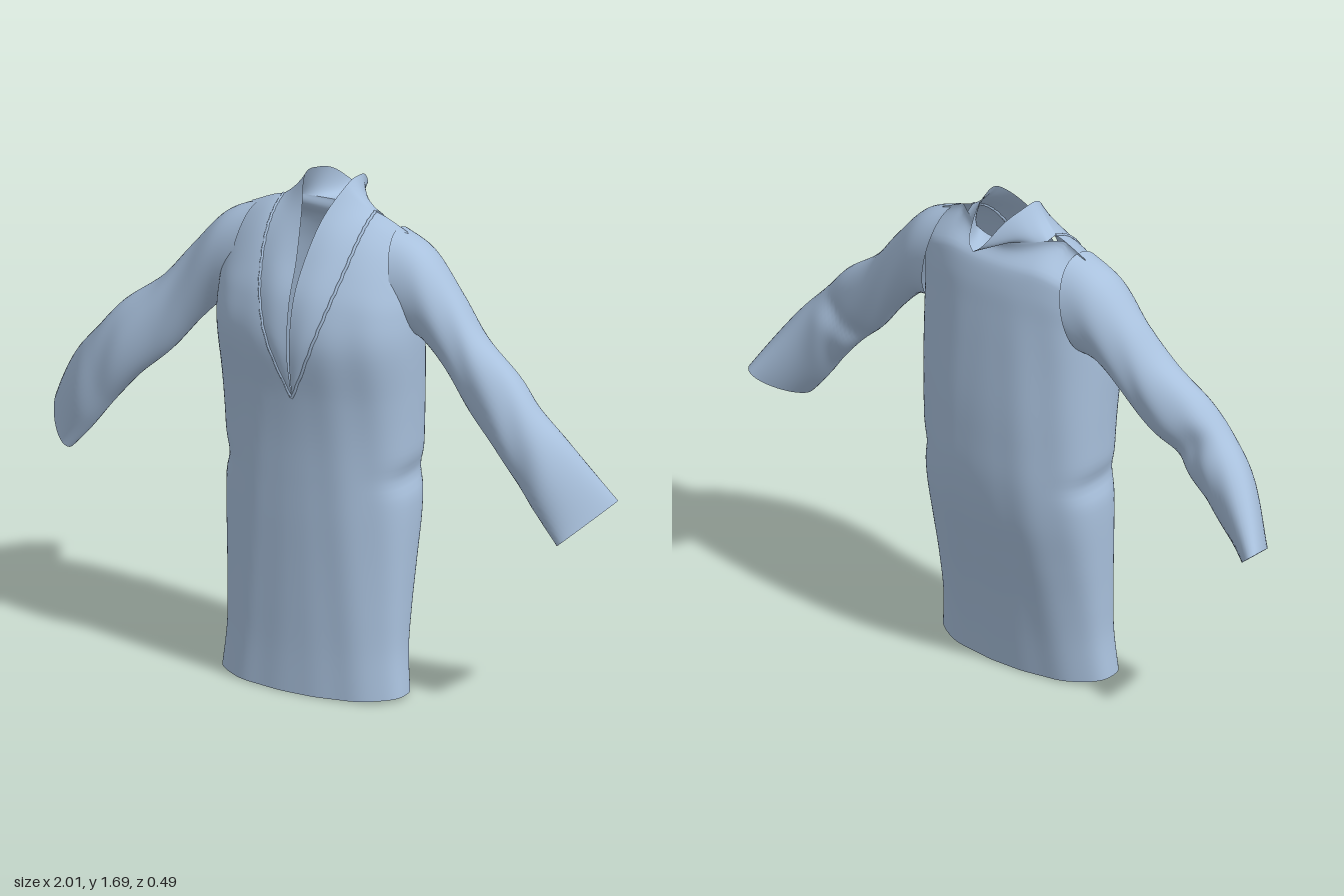
import * as THREE from 'three';
import { mergeVertices } from 'three/addons/utils/BufferGeometryUtils.js';

const cloth = new THREE.MeshStandardMaterial({ color: 0xa9c1dd, side: THREE.DoubleSide });
const { smoothstep, lerp, clamp } = THREE.MathUtils;

// Smooth interpolation through rows of numbers, t from 0 to rows.length - 1
function spline(rows, t) {
  const i = Math.min(Math.floor(t), rows.length - 2), f = t - i;
  const at = k => rows[clamp(k, 0, rows.length - 1)];
  return rows[0].map((_, k) => {
    const [a, b, c, d] = [at(i - 1)[k], at(i)[k], at(i + 1)[k], at(i + 2)[k]];
    return b + 0.5 * f * (c - a + f * (2 * a - 5 * b + 4 * c - d + f * (3 * (b - c) + d - a)));
  });
}

// Smooth sheet of cloth from a function of u and v (each 0..1)
function sheet(name, nu, nv, point, flip = false) {
  const pos = [], index = [];
  for (let j = 0; j <= nv; j++)
    for (let i = 0; i <= nu; i++) pos.push(...point(i / nu, j / nv).toArray());
  for (let j = 0; j < nv; j++)
    for (let i = 0; i < nu; i++) {
      const a = j * (nu + 1) + i, b = a + 1, c = a + nu + 1, d = c + 1;
      index.push(...(flip ? [a, c, b, b, c, d] : [a, b, c, b, d, c]));
    }
  let geo = new THREE.BufferGeometry();
  geo.setAttribute('position', new THREE.Float32BufferAttribute(pos, 3));
  geo.setIndex(index);
  geo = mergeVertices(geo, 1e-5);
  geo.computeVertexNormals();
  const mesh = new THREE.Mesh(geo, cloth);
  mesh.name = name;
  return mesh;
}

// Body levels: height, half width, front z, back z
const BODY = [
  [0.006, 0.325, 0.19, -0.075], [0.15, 0.312, 0.188, -0.095], [0.3, 0.314, 0.19, -0.122],
  [0.45, 0.32, 0.193, -0.155], [0.6, 0.326, 0.197, -0.187], [0.74, 0.326, 0.2, -0.203],
  [0.88, 0.33, 0.205, -0.204], [1.02, 0.337, 0.217, -0.2], [1.2, 0.347, 0.24, -0.187],
  [1.33, 0.345, 0.215, -0.175], [1.43, 0.342, 0.165, -0.163], [1.52, 0.334, 0.1, -0.138],
  [1.575, 0.312, 0.035, -0.095], [1.602, 0.28, -0.03, -0.03]];
const TOP = BODY.length - 1, V_TIP = 7, P = 0.9;

// Angle (0 = front centre) at which the neckline cuts a level
function neckAngle(t) {
  const [y, w] = spline(BODY, t);
  const x = 0.165 * (1 - Math.pow(1 - clamp((y - 1.02) / 0.582, 0, 1), 1.7));
  return t <= V_TIP ? 0 : Math.asin(Math.pow(x / w, 1 / P));
}

function bodyPoint(t, a) {
  const [y0, w, zf, zb] = spline(BODY, t);
  const s = Math.max(Math.sin(a), 0), c = Math.cos(a);
  // the waist is pinched at the sides only
  const pinch = 0.018 * Math.exp(-(((y0 - 0.745) / 0.045) ** 2)) * s ** 6;
  const x = w * Math.pow(s, P) - pinch;
  const mid = (zf + zb) / 2, half = (zf - zb) / 2;
  let z = mid + Math.sign(c) * half * Math.pow(Math.abs(c), 0.8);
  // soft hanging folds
  z += 0.006 * s * c * Math.sin(x * 38 + y0 * 3) * smoothstep(1.5 - y0, 0, 0.3);
  // the back neck stays behind the shoulder line
  const nape = Math.max(0, 1 - (x / 0.2) ** 2);
  if (c < 0) z = lerp(z, -0.03 - 0.09 * nape, smoothstep(y0, 1.5, 1.602));
  // sloping shoulders, dipped nape and gently curved hem
  const y = y0 - 0.07 * smoothstep(x, 0.14, 0.36) * smoothstep(y0, 1.2, 1.6)
    - (c < 0 ? 0.03 * nape * smoothstep(y0, 1.45, 1.6) : 0)
    + 0.012 * s * s * smoothstep(0.3 - y0, 0, 0.3);
  return new THREE.Vector3(x, y, z);
}

// Collar free edge from the V tip over the side peak to the back lip
const EDGE = [
  [0, 1.02, 0.217], [0.004, 1.18, 0.243], [0.006, 1.34, 0.224], [0.013, 1.46, 0.165],
  [0.038, 1.59, 0.085], [0.078, 1.685, -0.01], [0.074, 1.685, -0.09],
  [0.056, 1.66, -0.16], [0.03, 1.605, -0.225], [0, 1.577, -0.243]];
const PEAK = 5;

// Collar seam on the body, same parameter as the edge
function seamPoint(k) {
  if (k <= PEAK) {
    const t = lerp(V_TIP, TOP, k / PEAK);
    return bodyPoint(t, neckAngle(t));
  }
  const a = Math.PI - neckAngle(TOP);
  return bodyPoint(TOP, lerp(a, Math.PI, (k - PEAK) / (EDGE.length - 1 - PEAK)));
}

// Sleeve sections: upper point, lower point, half thickness
const SLEEVE = [
  [0.25, 1.56, -0.03, 0.31, 1.23, -0.02, 0.12], [0.36, 1.508, -0.03, 0.37, 1.21, -0.01, 0.108],
  [0.47, 1.385, -0.02, 0.46, 1.12, 0, 0.092], [0.57, 1.262, -0.005, 0.555, 1.005, 0.025, 0.088],
  [0.7, 1.16, 0.015, 0.655, 0.91, 0.05, 0.09], [0.79, 1.055, 0.015, 0.73, 0.825, 0.06, 0.085],
  [0.875, 0.95, -0.02, 0.8, 0.74, 0.08, 0.077], [1.0, 0.75, -0.105, 0.885, 0.64, 0.085, 0.045]];

function sleevePoint(u, v) {
  const t = v * (SLEEVE.length - 1), th = u * Math.PI * 2;
  const r = spline(SLEEVE, t);
  const up = new THREE.Vector3(r[0], r[1], r[2]), low = new THREE.Vector3(r[3], r[4], r[5]);
  const half = up.clone().sub(low).multiplyScalar(0.5);
  const n = new THREE.Vector3(0.62, -0.78, 0).cross(half).normalize();
  const c = Math.cos(th), s = Math.sin(th);
  // faint diagonal folds, with a deeper crease behind the elbow
  const fold = 0.004 * Math.sin(t * 3 + c * 3.2) * Math.sin(v * Math.PI)
    + (s < 0 ? 0.025 * Math.exp(-(((t - 4.2 - 0.6 * c) / 0.4) ** 2)) : 0);
  return up.add(low).multiplyScalar(0.5).addScaledVector(half, c)
    .addScaledVector(n, Math.sign(s) * Math.pow(Math.abs(s), 0.9) * (r[6] - fold));
}

export function createModel() {
  const group = new THREE.Group();
  group.name = 'tunic';

  // Sheets wrap from one front edge around the back to the other
  const side = (p, u) => { p.x *= u > 0.5 ? -1 : 1; return p; };

  group.add(sheet('body', 96, TOP * 6, (u, v) => {
    const t = v * TOP, k = Math.abs(2 * u - 1);
    return side(bodyPoint(t, lerp(Math.PI, neckAngle(t), k)), u);
  }));

  group.add(sheet('collar', 108, 10, (u, v) => {
    const k = (1 - Math.abs(2 * u - 1)) * (EDGE.length - 1);
    const p = seamPoint(k).lerp(new THREE.Vector3(...spline(EDGE, k)), v);
    const bow = Math.sin(v * Math.PI);
    p.z += 0.012 * bow * Math.sin(Math.min(k / PEAK, 1) * Math.PI);
    p.y -= 0.008 * bow * smoothstep(k, 3, 5);
    return side(p, u);
  }));

  for (const s of [1, -1]) {
    const label = s > 0 ? 'left' : 'right';
    group.add(sheet(label + 'Sleeve', 40, 56, (u, v) => {
      const p = sleevePoint(u, v);
      p.x *= s;
      return p;
    }, s < 0));

    // Slightly uneven raised stitching along the lapel
    const path = [];
    for (let i = 0; i <= 40; i++) {
      const p = seamPoint(i / 40 * PEAK);
      p.x = s * (p.x + 0.0015 * Math.sin(i * 2.3));
      path.push(p);
    }
    const seam = new THREE.Mesh(
      new THREE.TubeGeometry(new THREE.CatmullRomCurve3(path), 90, 0.005, 6), cloth);
    seam.name = label + 'LapelSeam';
    group.add(seam);
  }
  return group;
}
